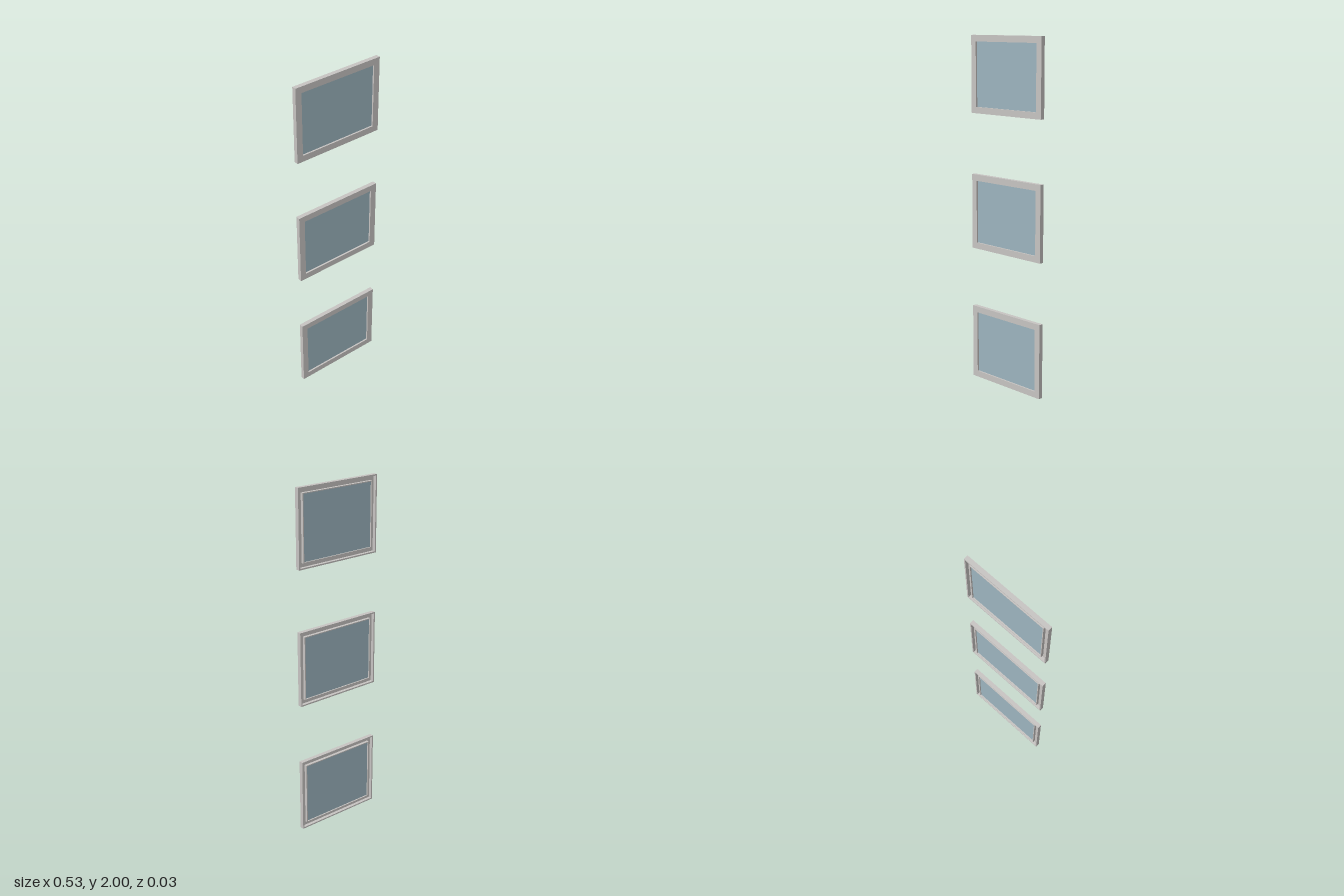
import * as THREE from 'three';

const HALF_W = 0.267, HALF_H = 0.217, HALF_D = 0.0125;
const BORDER = 0.036, RIM = 0.008, LIP = 0.005;

// Frame section as [inset from the outer edge, z]: front plate, outer rim and inner lip, hollow at the back
const SECTION = [
  [0, HALF_D], [BORDER, HALF_D],
  [BORDER, -0.0105], [BORDER - LIP, -0.0105],
  [BORDER - LIP, 0.006], [RIM, 0.006],
  [RIM, -HALF_D], [0, -HALF_D],
];
const CORNERS = [[1, -1], [1, 1], [-1, 1], [-1, -1]];

// Sweeps the section around the rectangle with mitred corners
function frameGeometry() {
  const point = ([inset, z], [sx, sy]) => [sx * (HALF_W - inset), sy * (HALF_H - inset), z];
  const positions = [];
  SECTION.forEach((a, i) => {
    const b = SECTION[(i + 1) % SECTION.length];
    CORNERS.forEach((c, j) => {
      const d = CORNERS[(j + 1) % CORNERS.length];
      const [p, q, r, s] = [point(a, c), point(a, d), point(b, d), point(b, c)];
      positions.push(...p, ...q, ...r, ...p, ...r, ...s);
    });
  });
  const geometry = new THREE.BufferGeometry();
  geometry.setAttribute('position', new THREE.Float32BufferAttribute(positions, 3));
  geometry.computeVertexNormals();
  return geometry;
}

export function createModel() {
  const model = new THREE.Group();
  model.name = 'windowColumn';

  const frameMaterial = new THREE.MeshStandardMaterial({ color: 0xc8c5c3 });
  frameMaterial.name = 'warm grey frame';
  const glassMaterial = new THREE.MeshStandardMaterial({ color: 0x9db5bf });
  glassMaterial.name = 'blue grey glass';

  const frameShape = frameGeometry();
  const paneShape = new THREE.BoxGeometry(2 * (HALF_W - BORDER), 2 * (HALF_H - BORDER), 0.006);

  // Three identical windows stacked with gaps
  [HALF_H, 1, 2 - HALF_H].forEach((y, i) => {
    const unit = new THREE.Group();
    unit.name = ['lowerWindow', 'middleWindow', 'upperWindow'][i];
    unit.position.y = y;

    const frame = new THREE.Mesh(frameShape, frameMaterial);
    frame.name = 'frame';
    const pane = new THREE.Mesh(paneShape, glassMaterial);
    pane.name = 'glassPane';

    unit.add(frame, pane);
    model.add(unit);
  });

  return model;
}
